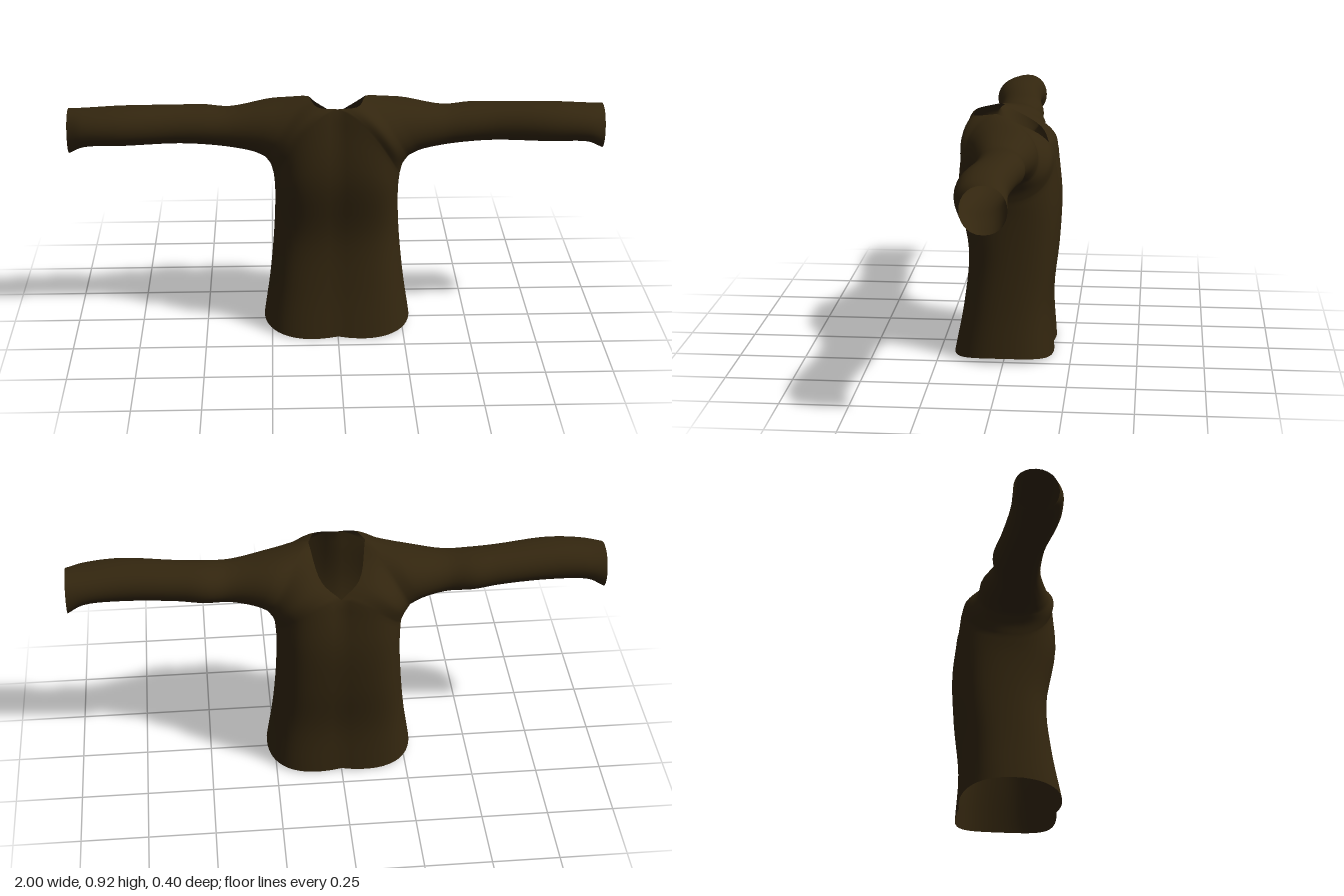
import * as THREE from 'three';
import { mergeVertices } from 'three/addons/utils/BufferGeometryUtils.js';

const V = (x, y, z) => new THREE.Vector3(x, y, z);

// Underarm rail: side seam from hem to armpit, then along the sleeve to the cuff
const under = [
  [0.28, 0.03, 0], [0.255, 0.2, -0.01], [0.237, 0.4, -0.02], [0.233, 0.55, -0.01],
  [0.238, 0.615, 0], [0.25, 0.66, 0], [0.272, 0.69, 0], [0.315, 0.708, 0],
  [0.4, 0.724, 0], [0.5, 0.733, -0.01], [0.6, 0.74, 0], [0.8, 0.74, 0.02],
  [0.94, 0.735, 0.015], [1, 0.705, 0],
].map((p) => V(...p));

// Shoulder rail: neck point to the cuff along the top of the sleeve
const shoulder = [
  [0.105, 0.925, 0.035], [0.23, 0.9, 0], [0.4, 0.872, 0], [0.5, 0.877, -0.01],
  [0.6, 0.88, 0], [0.8, 0.885, 0.02], [0.94, 0.876, 0.015], [1, 0.872, 0],
];

// Centre line from hem to collar, then around the neckline to the neck point
const sheets = [
  { // front
    sign: 1,
    top: [[0, 0.012, 0.19], [0, 0.2, 0.155], [0, 0.4, 0.138], [0, 0.65, 0.172],
      [0, 0.905, 0.13], [0.072, 0.91, 0.122]],
    lean: [[0.18, -0.022, 0.025], [0.17, 0, 0.02], [0.16, 0, 0.02], [0.16, 0, 0.03],
      [0.14, -0.03, 0.06], [0.1, -0.05, 0.07], [0.09, -0.04, 0.15]],
    depth: [0.17, 0.15, 0.14, 0.16, 0.18, 0.19, 0.18, 0.16, 0.115, 0.12, 0.11, 0.12, 0.115, 0.107],
  },
  { // back
    sign: -1,
    top: [[0, 0.012, -0.175], [0, 0.2, -0.165], [0, 0.4, -0.188], [0, 0.6, -0.195],
      [0, 0.79, -0.156], [0.068, 0.845, -0.118]],
    lean: [[0.18, -0.018, -0.025], [0.17, 0, -0.02], [0.16, 0, -0.015], [0.16, 0, -0.02],
      [0.14, 0.0, -0.06], [0.11, -0.02, -0.09], [0.09, -0.04, -0.2]],
    depth: [0.16, 0.15, 0.16, 0.17, 0.18, 0.19, 0.19, 0.165, 0.12, 0.12, 0.115, 0.12, 0.12, 0.107],
  },
];

// Spans of stations that are smooth in themselves: body, yoke, sleeve
const spans = [[0, 4], [4, 6], [6, 13]];
const STEPS = 5;   // rows between two stations
const ACROSS = 14; // points from underarm to top

// Rows of points over one half sheet
function sheetRows({ sign, top, lean, depth }) {
  const tops = [...top, ...shoulder].map((p) => V(...p));
  const c1 = under.map((p, i) => p.clone().add(V(0, 0, sign * depth[i])));
  const c2 = tops.map((p, i) => p.clone().add(lean[i] ? V(...lean[i]) : V(0, 0, sign * depth[i])));
  const rows = [];
  for (const [a, b] of spans) {
    const rails = [under, c1, c2, tops].map((r) => new THREE.CatmullRomCurve3(r.slice(a, b + 1)));
    const n = (b - a) * STEPS;
    for (let i = a === 0 ? 0 : 1; i <= n; i++) {
      const arc = new THREE.CubicBezierCurve3(...rails.map((r) => r.getPoint(i / n)));
      rows.push(arc.getPoints(ACROSS));
    }
  }
  return rows;
}

export function createModel() {
  const fabric = new THREE.MeshStandardMaterial({ color: 0x33260f, side: THREE.DoubleSide });
  fabric.name = 'dark brown fabric';

  // Front and back sheets, each mirrored, welded along seams
  const positions = [];
  const index = [];
  for (const sheet of sheets) {
    const rows = sheetRows(sheet);
    for (const mirror of [1, -1]) {
      const base = positions.length / 3;
      const w = ACROSS + 1;
      rows.forEach((row) => row.forEach((p) => positions.push(mirror * p.x, p.y, p.z)));
      for (let i = 0; i < rows.length - 1; i++) {
        for (let j = 0; j < ACROSS; j++) {
          const a = base + i * w + j, b = a + w, c = b + 1, d = a + 1;
          if (mirror * sheet.sign > 0) index.push(a, b, d, b, c, d);
          else index.push(a, d, b, b, d, c);
        }
      }
    }
  }
  let geometry = new THREE.BufferGeometry();
  geometry.setAttribute('position', new THREE.Float32BufferAttribute(positions, 3));
  geometry.setIndex(index);
  geometry = mergeVertices(geometry, 1e-4);
  geometry.computeVertexNormals();

  const sweater = new THREE.Mesh(geometry, fabric);
  sweater.name = 'sweater';
  const group = new THREE.Group();
  group.name = 'longSleevedTop';
  group.add(sweater);
  return group;
}
